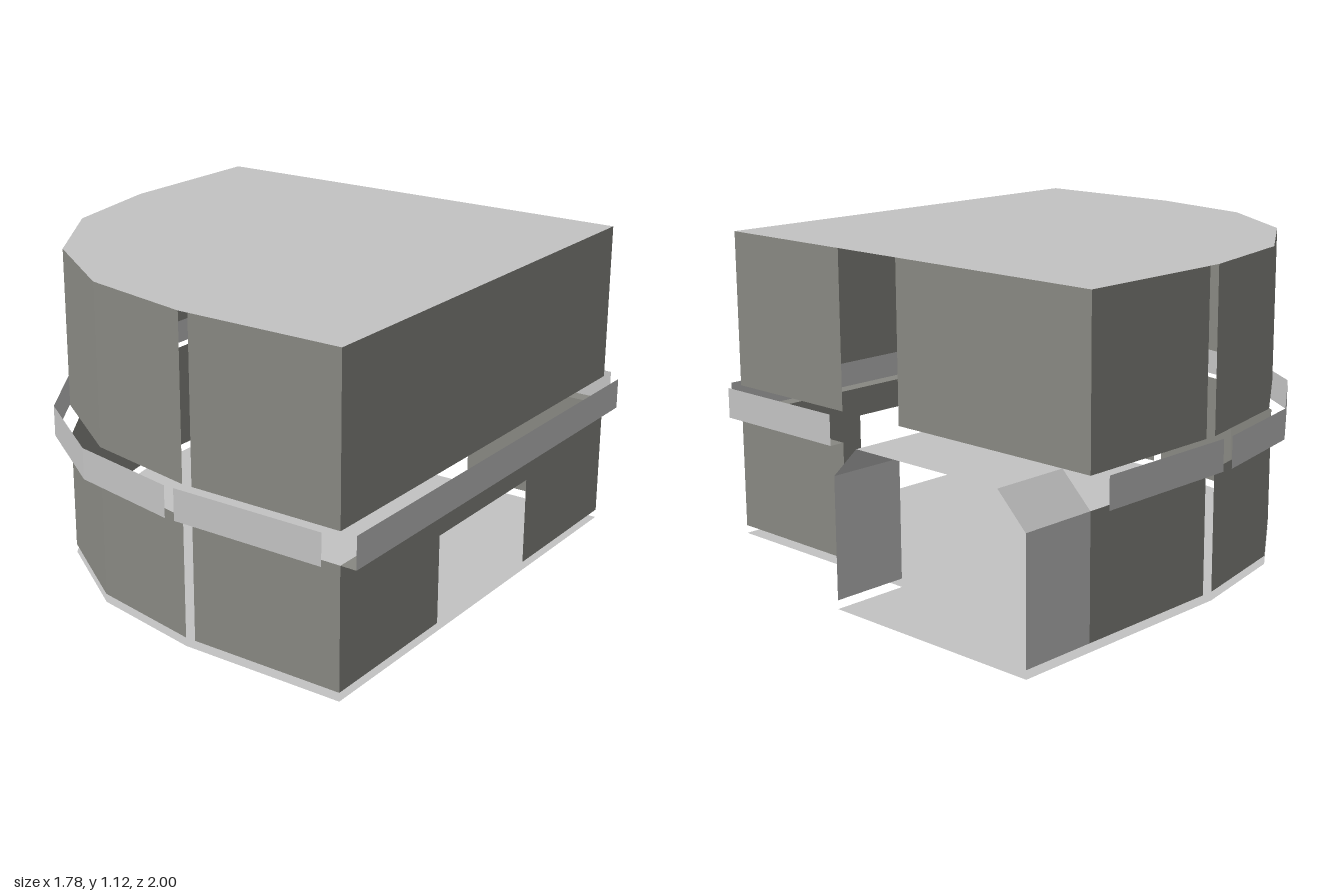
import * as THREE from 'three';

const light = new THREE.MeshStandardMaterial({ color: 0xc3c3c3, side: THREE.DoubleSide });
light.name = 'light grey';
const dark = new THREE.MeshStandardMaterial({ color: 0x888882, side: THREE.DoubleSide });
dark.name = 'wall grey';

// Heights and plan dimensions
const BASE = 0.03, SILL = 0.45, HEAD = 0.56, TOP = 1.12;
const L = -0.85, R = 0.83, F = 0.96, B = -0.72;
const ARC_X = 0.235, ARC_Z = -0.115;

// Sweeps a polyline of [x, y, z] points along one vector, with flat facets
function sweep(points, v) {
  const dir = new THREE.Vector3(...v);
  const p = points.map((q) => new THREE.Vector3(...q));
  const out = [];
  for (let i = 0; i + 1 < p.length; i++) {
    const a = p[i], b = p[i + 1];
    const c = b.clone().add(dir), d = a.clone().add(dir);
    for (const q of [a, b, c, a, c, d]) out.push(q.x, q.y, q.z);
  }
  const g = new THREE.BufferGeometry();
  g.setAttribute('position', new THREE.Float32BufferAttribute(out, 3));
  g.computeVertexNormals();
  return g;
}

// Horizontal sheet from [x, z] plan points
function sheet(plan, y) {
  const g = new THREE.ShapeGeometry(new THREE.Shape(plan.map(([x, z]) => new THREE.Vector2(x, -z))));
  return g.rotateX(-Math.PI / 2).translate(0, y, 0);
}

export function createModel() {
  const model = new THREE.Group();
  model.name = 'building';
  const add = (name, geometry, material) => {
    const m = new THREE.Mesh(geometry, material);
    m.name = name;
    model.add(m);
  };
  const upright = (name, plan, y0, y1, material = dark) =>
    add(name, sweep(plan.map(([x, z]) => [x, y0, z]), [0, y1 - y0, 0]), material);

  // Rounded corner in five facets
  const arc = [];
  for (let i = 0; i <= 4; i++) {
    const a = (i / 4) * Math.PI / 2;
    arc.push([ARC_X - (ARC_X - L) * Math.cos(a), ARC_Z + (F - ARC_Z) * Math.sin(a)]);
  }

  // Floor with porch, and roof
  const porchL = L, porchR = -0.01, porchZ = -1;
  const outline = [...arc, [R, F], [R, B]];
  add('roof', sheet([...outline, [L, B]], TOP), light);
  add('floor', sheet([...outline, [porchR, B], [porchR, porchZ], [porchL, porchZ]], 0), light);

  // Left and front panels with slits between them and a detached band at the window strip
  const panels = {
    left: [[L, B], [L, -0.16]],
    curved: arc,
    front: [[0.272, F], [R, F]],
  };
  for (const [name, plan] of Object.entries(panels)) {
    upright(name + 'LowerWall', plan, BASE, SILL);
    upright(name + 'UpperWall', plan, HEAD, TOP);
    upright(name + 'Band', plan.map(([x, z]) => [x - 0.04, z + 0.04]), SILL, HEAD, light);
  }

  // Right wall with doorway
  const doorF = 0.405, doorB = -0.16, doorTop = 0.34;
  upright('rightLowerWallFront', [[R, F], [R, doorF]], BASE, SILL);
  upright('rightLowerWallBack', [[R, doorB], [R, B]], BASE, SILL);
  upright('doorLintel', [[R, doorF], [R, doorB]], doorTop, SILL);
  upright('rightUpperWall', [[R, F], [R, B]], HEAD, TOP);

  // Back wall, open beside and behind the porch
  const backEnd = 0.272;
  upright('backLowerWall', [[R, B], [backEnd, B]], BASE, SILL);
  upright('backUpperWall', [[R, B], [backEnd, B]], HEAD, TOP);
  upright('wallAbovePorch', [[porchR, B], [L, B]], HEAD, TOP);

  // Window ledges with upstanding bands on the right and back
  const out = 0.057;
  add('rightLedge', sweep([[R, SILL, B], [R, SILL, F]], [out, 0, 0]), dark);
  upright('rightBand', [[R + out, F], [R + out, B]], SILL, HEAD, light);
  add('backLedge', sweep([[backEnd, SILL, B], [R, SILL, B]], [0, 0, -out]), dark);
  upright('backBand', [[R, B - out], [backEnd, B - out]], SILL, HEAD, light);

  // Porch shell with chamfered roof edges and an open end
  const profile = [[porchL, BASE], [porchL, SILL], [-0.737, HEAD], [-0.12, HEAD], [porchR, SILL], [porchR, BASE]];
  add('porch', sweep(profile.map(([x, y]) => [x, y, B]), [0, 0, porchZ - B]), light);

  return model;
}
